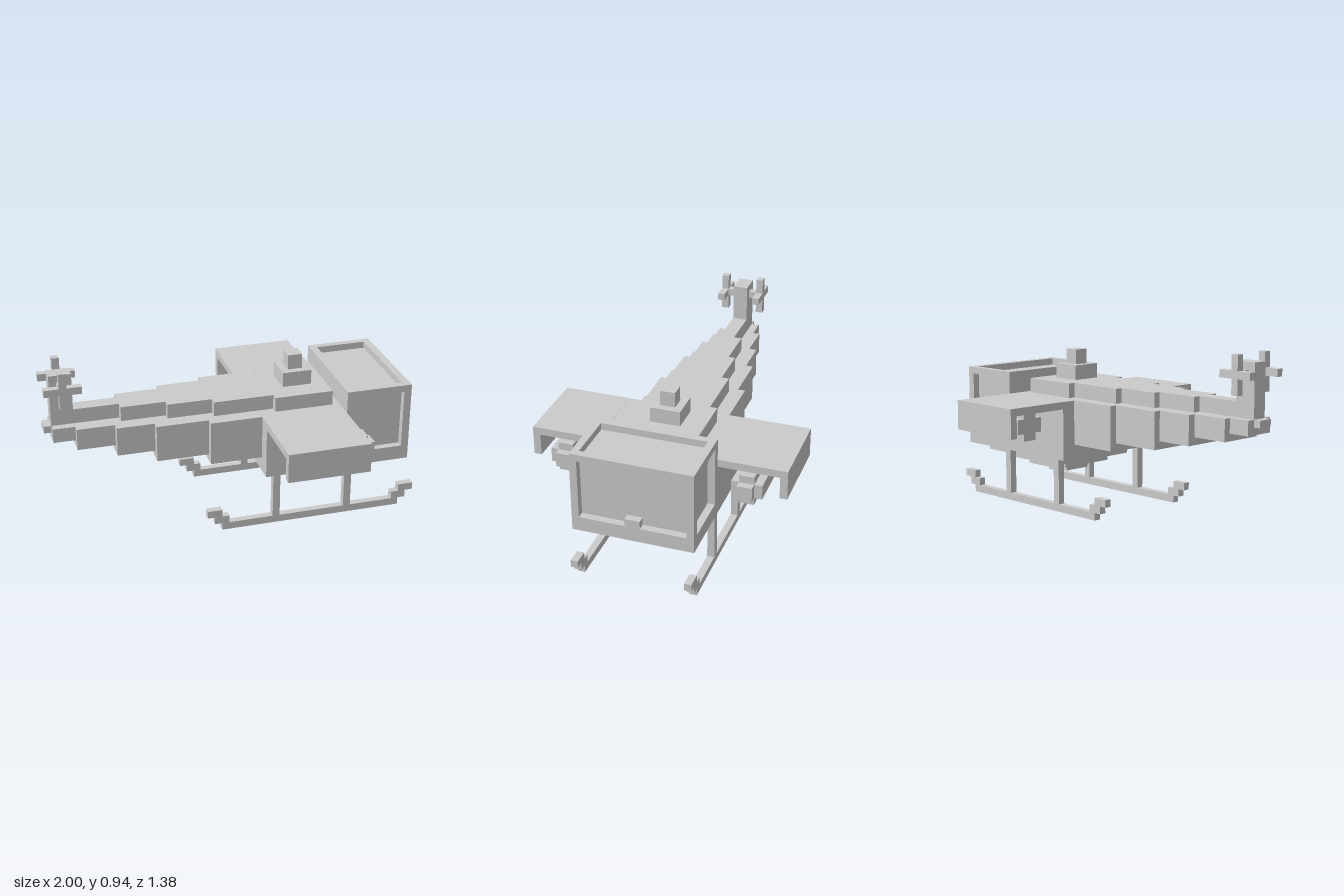
import * as THREE from 'three';

const material = new THREE.MeshStandardMaterial({ color: 0xcccccc, flatShading: true });

export function createModel() {
  const model = new THREE.Group();
  model.name = 'helicopter';

  const part = (name) => {
    const g = new THREE.Group();
    g.name = name;
    model.add(g);
    return g;
  };
  // Box given by its limits on each axis
  const box = (parent, name, x0, x1, y0, y1, z0, z1) => {
    const mesh = new THREE.Mesh(new THREE.BoxGeometry(x1 - x0, y1 - y0, z1 - z0), material);
    mesh.position.set((x0 + x1) / 2, (y0 + y1) / 2, (z0 + z1) / 2);
    mesh.name = name;
    parent.add(mesh);
  };
  // Box centred on z = 0 with half width w
  const mid = (parent, name, x0, x1, y0, y1, w) => box(parent, name, x0, x1, y0, y1, -w, w);
  // Two boxes mirrored across z = 0
  const pair = (parent, name, x0, x1, y0, y1, z0, z1) => {
    box(parent, name, x0, x1, y0, y1, z0, z1);
    box(parent, name, x0, x1, y0, y1, -z1, -z0);
  };

  // Lower fuselage, stepping down to the tail: [x0, x1, bottom, half width]
  const fuselage = part('fuselage');
  [
    [0.14, 0.59, 0.29, 0.325],
    [-0.145, 0.14, 0.37, 0.245],
    [-0.43, -0.145, 0.41, 0.205],
    [-0.635, -0.43, 0.453, 0.165],
    [-0.84, -0.635, 0.495, 0.123],
    [-0.96, -0.84, 0.535, 0.085],
    [-1.0, -0.96, 0.575, 0.041],
  ].forEach(([x0, x1, y0, w]) => mid(fuselage, 'hullSection', x0, x1, y0, 0.614, w));

  // Raised spine on top: [x0, x1, half width]
  const spine = part('spine');
  [
    [0.225, 0.55, 0.204],
    [-0.105, 0.225, 0.164],
    [-0.35, -0.105, 0.123],
    [-0.595, -0.35, 0.085],
    [-0.84, -0.595, 0.041],
  ].forEach(([x0, x1, w]) => mid(spine, 'spineSection', x0, x1, 0.614, 0.695, w));

  // Rotor mast
  const mast = part('mast');
  mid(mast, 'mastBase', 0.305, 0.467, 0.695, 0.777, 0.082);
  mid(mast, 'mastTop', 0.346, 0.426, 0.777, 0.86, 0.041);

  // Cabin: floor, back wall, frame bars and recessed windows
  const cabin = part('cabin');
  mid(cabin, 'floor', 0.59, 0.957, 0.29, 0.37, 0.325);
  mid(cabin, 'backWall', 0.59, 0.631, 0.37, 0.736, 0.325);
  mid(cabin, 'windows', 0.631, 0.916, 0.37, 0.698, 0.286);
  pair(cabin, 'frontPost', 0.916, 0.957, 0.37, 0.698, 0.286, 0.325);
  mid(cabin, 'frontRail', 0.916, 0.957, 0.698, 0.736, 0.325);
  pair(cabin, 'sideRail', 0.631, 0.916, 0.698, 0.736, 0.286, 0.325);
  mid(cabin, 'frontSillBlock', 0.916, 0.957, 0.37, 0.412, 0.041);

  // Stepped belly
  const belly = part('belly');
  mid(belly, 'bellyUpper', 0.225, 0.875, 0.249, 0.29, 0.245);
  mid(belly, 'bellyMiddle', 0.305, 0.793, 0.207, 0.249, 0.163);
  mid(belly, 'bellyLower', 0.386, 0.712, 0.166, 0.207, 0.081);

  // Wings with downturned tips
  const wings = part('wings');
  pair(wings, 'wing', 0.14, 0.59, 0.574, 0.615, 0.325, 0.692);
  pair(wings, 'wingTip', 0.14, 0.59, 0.453, 0.574, 0.652, 0.692);

  // Pods under the wings, plus-shaped in section
  const pods = part('underwingPods');
  pair(pods, 'podUpright', 0.225, 0.631, 0.412, 0.574, 0.45, 0.531);
  pair(pods, 'podSides', 0.225, 0.631, 0.453, 0.533, 0.41, 0.45);
  pair(pods, 'podSides', 0.225, 0.631, 0.453, 0.533, 0.531, 0.573);
  pair(pods, 'podNose', 0.631, 0.672, 0.453, 0.533, 0.45, 0.531);

  // Tail fin with a cross-shaped rotor on each side
  const tail = part('tailRotor');
  mid(tail, 'fin', -0.96, -0.84, 0.614, 0.9, 0.041);
  pair(tail, 'axle', -0.92, -0.88, 0.82, 0.86, 0.041, 0.085);
  pair(tail, 'uprightBlade', -0.92, -0.88, 0.736, 0.942, 0.085, 0.124);
  pair(tail, 'rearBlade', -1.0, -0.92, 0.82, 0.86, 0.085, 0.124);
  pair(tail, 'frontBlade', -0.88, -0.8, 0.82, 0.86, 0.085, 0.124);

  // Landing skids with stepped ends and struts
  const skids = part('landingSkids');
  const skid = (name, x0, x1, y0, y1) => pair(skids, name, x0, x1, y0, y1, 0.286, 0.325);
  skid('runner', -0.105, 0.916, 0, 0.041);
  skid('rearStep', -0.146, -0.065, 0.041, 0.083);
  skid('rearTip', -0.187, -0.105, 0.083, 0.124);
  skid('frontStep', 0.876, 0.957, 0.041, 0.083);
  skid('frontTip', 0.916, 1.0, 0.083, 0.124);
  skid('rearStrut', 0.181, 0.221, 0.041, 0.29);
  skid('frontStrut', 0.59, 0.631, 0.041, 0.29);

  return model;
}
